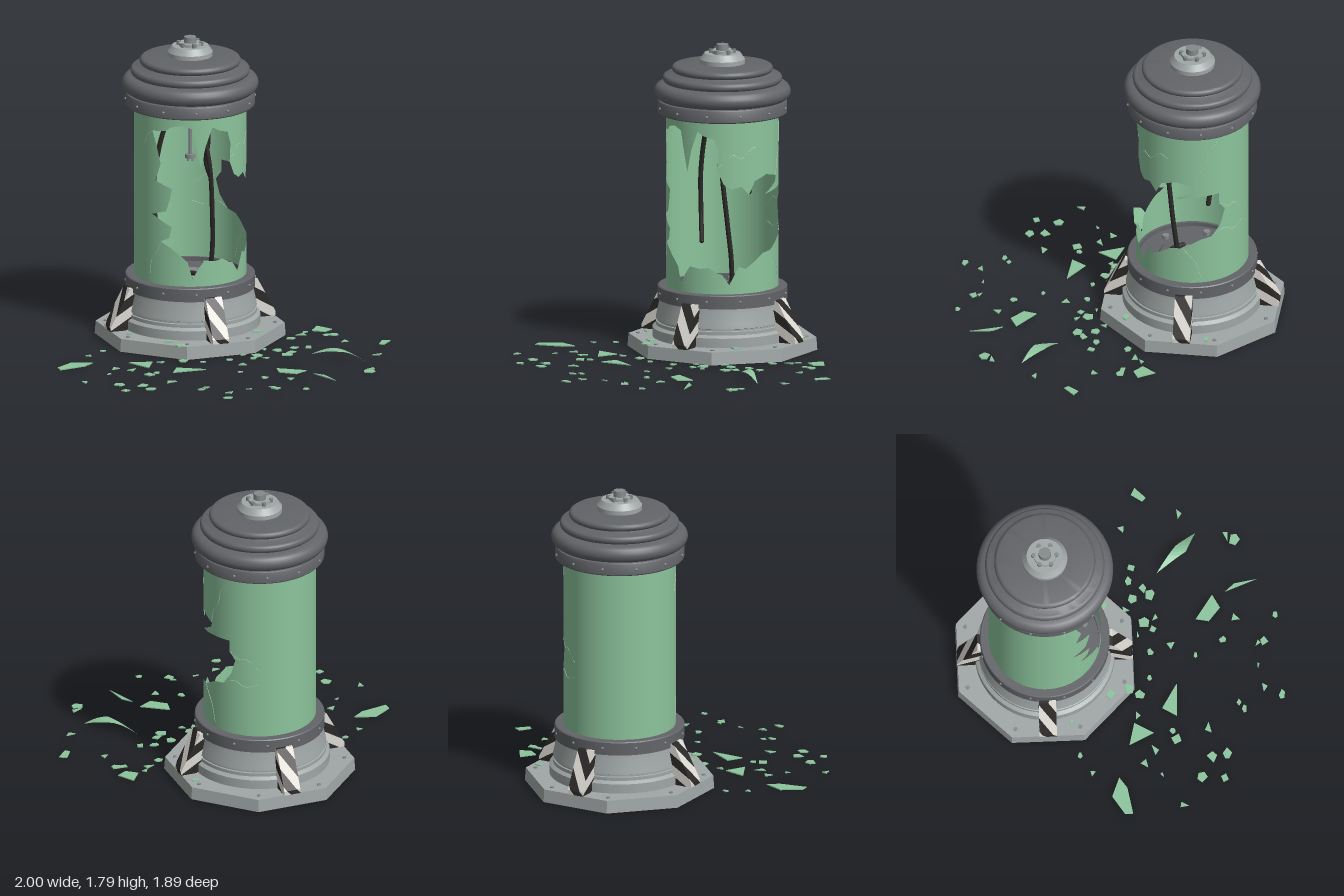
import * as THREE from 'three';
import { mergeGeometries, toCreasedNormals } from 'three/addons/utils/BufferGeometryUtils.js';

const mat = (name, color, side = THREE.FrontSide) => new THREE.MeshStandardMaterial({ name, color, side });
const glass = mat('green glass', 0x8cc49c, THREE.DoubleSide);
const dark = mat('dark metal', 0x626468);
const grey = mat('light metal', 0xa0a7a6);
const steel = mat('steel', 0x85898b);
const black = mat('black rubber', 0x2b2927);
const white = mat('stripe white', 0xdedbd4);
const crackMat = mat('crack', 0xc2dcc6);

const R = 0.325; // glass radius

// Keeps the part of a convex polygon where lo <= f(p) <= hi
function clip(poly, f, lo, hi) {
  for (const g of [p => f(p) - lo, p => hi - f(p)]) {
    const out = [];
    poly.forEach((a, i) => {
      const b = poly[(i + 1) % poly.length], ga = g(a), gb = g(b);
      if (ga >= 0) out.push(a);
      if ((ga > 0 && gb < 0) || (ga < 0 && gb > 0)) out.push(a.map((v, k) => v + (b[k] - v) * ga / (ga - gb)));
    });
    poly = out;
  }
  return poly;
}

// Cuts polygons into bands of f, maps each corner to 3D, and gathers the bands into `count` geometries
function bands(polys, f, step, map, count = 1) {
  const pos = Array.from({ length: count }, () => []);
  for (const poly of polys) {
    const vals = poly.map(f);
    for (let k = Math.floor(Math.min(...vals) / step); k * step < Math.max(...vals); k++) {
      const p = clip(poly, f, k * step, (k + 1) * step).map(map);
      for (let i = 1; i + 1 < p.length; i++) pos[Math.abs(k) % count].push(...p[0], ...p[i], ...p[i + 1]);
    }
  }
  return pos.map(a => {
    const g = new THREE.BufferGeometry();
    g.setAttribute('position', new THREE.Float32BufferAttribute(a, 3));
    g.computeVertexNormals();
    return g;
  });
}

const lathe = pts => toCreasedNormals(
  new THREE.LatheGeometry(pts.map(p => new THREE.Vector2(...p)), 64), 0.6);

// Rounded bulge from y0 to y1, reaching out from radius r0 to r1
const bulge = (r0, r1, y0, y1) => Array.from({ length: 9 }, (_, i) => {
  const a = Math.PI * (i / 8 - 0.5);
  return [r0 + (r1 - r0) * Math.cos(a), (y0 + y1) / 2 + (y1 - y0) / 2 * Math.sin(a)];
});

const onGlass = (a, y, r = R) => [r * Math.sin(a), y, r * Math.cos(a)];

export function createModel() {
  const model = new THREE.Group();
  const tank = new THREE.Group();
  tank.name = 'tank';
  tank.position.set(-0.025, 0, -0.44);
  model.add(tank);
  const add = (name, geo, material, parent = tank) => {
    const m = new THREE.Mesh(geo, material);
    m.name = name;
    parent.add(m);
    return m;
  };
  const ring = (name, n, r, y, off, geo, material) => {
    for (let i = 0; i < n; i++) {
      const a = off + i / n * Math.PI * 2;
      add(name, geo, material).position.set(...onGlass(a, y, r));
    }
  };

  // Octagonal plate and stepped pedestal
  const plate = new THREE.CylinderGeometry(0.546, 0.552, 0.075, 8);
  plate.rotateY(Math.PI / 8).translate(0, 0.0375, 0);
  add('basePlate', toCreasedNormals(plate, 0.3), grey);
  add('pedestal', lathe([[0.405, 0.075], [0.405, 0.13], [0.385, 0.145], [0.385, 0.165], [0.377, 0.168],
    [0.377, 0.178], [0.385, 0.181], [0.382, 0.2], [0.367, 0.27], [0.365, 0.296]]), grey);
  ring('plateBolt', 8, 0.49, 0.077, Math.PI / 8, new THREE.CylinderGeometry(0.012, 0.012, 0.008, 8), steel);

  // Lower collar with the tank floor
  add('lowerCollar', lathe([[0.36, 0.293], [0.375, 0.296], [0.375, 0.37], [0.37, 0.375], [0.31, 0.375],
    [0.31, 0.35], [0.2, 0.35], [0.19, 0.36], [0, 0.36]]), dark);
  ring('floorBolt', 6, 0.24, 0.36, 0.3, new THREE.CylinderGeometry(0.022, 0.022, 0.025, 6), steel);
  add('floorDrain', new THREE.CylinderGeometry(0.07, 0.08, 0.025, 24), steel).position.y = 0.37;

  // Lid: collar and three rounded steps
  add('lid', lathe([[0, 1.39], [0.369, 1.386], [0.374, 1.392], [0.374, 1.455], [0.37, 1.462],
    ...bulge(0.35, 0.395, 1.464, 1.56), ...bulge(0.325, 0.345, 1.565, 1.612), [0.28, 1.618],
    ...bulge(0.27, 0.292, 1.625, 1.668), [0.12, 1.675], [0, 1.675]]), dark);
  const rivet = new THREE.SphereGeometry(0.008, 8, 6);
  for (const y of [0.337, 1.424]) ring('rivet', 12, 0.375, y, Math.PI / 12, rivet, steel);

  // Hub on the lid
  add('hub', lathe([[0.13, 1.66], [0.13, 1.7], [0.122, 1.71], [0.105, 1.735], [0.065, 1.735],
    [0.065, 1.752], [0, 1.752]]), grey);
  add('hubKnob', new THREE.CylinderGeometry(0.035, 0.037, 0.04, 16), steel).position.y = 1.766;
  ring('hubBolt', 6, 0.066, 1.745, 0, new THREE.CylinderGeometry(0.013, 0.013, 0.025, 6), steel);

  // Four striped braces
  const prof = [[0.36, 0.075], [0.508, 0.075], [0.508, 0.1], [0.39, 0.32], [0.36, 0.32]];
  const w = 0.05;
  const faces = prof.map(([r, y], i) => {
    const [r2, y2] = prof[(i + 1) % prof.length];
    return [[-w, y, r], [w, y, r], [w, y2, r2], [-w, y2, r2]];
  });
  faces.push(prof.map(([r, y]) => [-w, y, r]), prof.map(([r, y]) => [w, y, r]).reverse());
  const [evenBand, oddBand] = bands(faces, p => p[1] + 0.6 * p[2] + p[0], 0.062, p => p, 2);
  for (let i = 0; i < 4; i++) {
    const brace = new THREE.Group();
    brace.name = 'brace';
    brace.rotation.y = i * Math.PI / 2;
    add('braceBlackStripes', evenBand, black, brace);
    add('braceWhiteStripes', oddBand, white, brace);
    tank.add(brace);
  }

  // Broken glass: unrolled sheet (angle, height) with a jagged hole, wrapped round the axis
  const upperEdge = [[-1.09, 1.29], [-0.8, 1.3], [-0.72, 1.325], [-0.5, 1.34], [-0.32, 1.32], [-0.25, 1.21],
    [-0.165, 1.085], [-0.08, 1.21], [0.05, 1.326], [0.18, 1.3], [0.37, 1.283], [0.44, 1.21], [0.42, 1.1],
    [0.53, 1.02], [0.67, 0.99], [0.85, 1.005], [1.0, 0.955], [1.12, 1.03], [1.4, 1.06], [1.76, 1.035],
    [1.7, 1.0], [1.37, 0.945], [1.84, 0.965], [2.19, 0.97]];
  const lowerEdge = [[2.2, 0.9], [2.31, 0.85], [2.23, 0.76], [2.06, 0.685], [1.84, 0.67], [1.52, 0.61],
    [1.3, 0.6], [1.12, 0.56], [0.93, 0.52], [0.8, 0.535], [0.63, 0.43], [0.5, 0.49], [0.4, 0.5], [0.25, 0.53],
    [0.1, 0.52], [-0.1, 0.53], [-0.2, 0.487], [-0.316, 0.42], [-0.4, 0.52], [-0.5, 0.55], [-0.7, 0.6],
    [-0.91, 0.635], [-0.74, 0.66], [-0.69, 0.727]];
  const leftEdge = [[-1.09, 0.79], [-0.8, 0.82], [-0.72, 0.9], [-0.69, 0.957], [-1.02, 0.995], [-0.91, 1.1], [-1.0, 1.21]];
  const v2 = p => new THREE.Vector2(...p);
  const sheet = new THREE.Shape([[-Math.PI, 0.37], [Math.PI, 0.37], [Math.PI, 1.395], [-Math.PI, 1.395]].map(v2));
  sheet.holes.push(new THREE.Path([...upperEdge, ...lowerEdge, ...leftEdge].map(v2)));
  const flat = new THREE.ShapeGeometry(sheet).toNonIndexed().attributes.position;
  const tris = [];
  for (let i = 0; i < flat.count; i += 3) tris.push([0, 1, 2].map(k => [flat.getX(i + k), flat.getY(i + k)]));
  const [wall] = bands(tris, p => p[0], Math.PI / 36, p => onGlass(p[0], p[1]));
  const wp = wall.attributes.position;
  for (let i = 0; i < wp.count; i++) wall.attributes.normal.setXYZ(i, wp.getX(i) / R, 0, wp.getZ(i) / R);
  add('brokenGlass', wall, glass);

  // Hairline cracks
  const tube = (pts, r, n, sides) => new THREE.TubeGeometry(
    new THREE.CatmullRomCurve3(pts.map(p => new THREE.Vector3(...p))), n, r, sides);
  for (const c of [
    [[0.44, 1.12], [0.7, 1.19], [0.85, 1.17], [1.1, 1.23], [1.25, 1.21]],
    [[1.74, 1.04], [1.8, 1.12], [1.93, 1.18], [2.0, 1.27], [2.15, 1.33]],
    [[2.2, 0.9], [2.4, 0.86], [2.5, 0.87], [2.75, 0.8]],
    [[1.52, 0.61], [1.65, 0.56], [1.76, 0.51], [1.85, 0.41]],
    [[2.06, 0.69], [2.3, 0.72], [2.5, 0.69], [2.75, 0.71]],
    [[-0.9, 0.63], [-1.0, 0.56], [-1.1, 0.52], [-1.15, 0.43]],
    [[-1.08, 1.29], [-1.2, 1.26], [-1.3, 1.2]]])
    add('crack', tube(c.map(([a, y]) => onGlass(a, y, R + 0.0005)), 0.0016, 24, 4), crackMat);

  // Hanging cables, with capped ends, and the central rod
  for (const c of [
    [[-0.08, 1.39, -0.01], [-0.145, 1.22, -0.05], [-0.185, 1, -0.075], [-0.192, 0.8, -0.09], [-0.175, 0.6, -0.07]],
    [[0.02, 1.39, 0.07], [0.07, 1.05, 0.13], [0.095, 0.75, 0.11], [0.105, 0.5, 0.08], [0.09, 0.4, 0.07],
      [0.02, 0.395, 0.12], [-0.05, 0.39, 0.06]],
    [[0.11, 1.39, -0.03], [0.13, 1.15, -0.05], [0.125, 1, -0.07], [0.145, 0.92, -0.06]]]) {
    add('cable', tube(c, 0.014, 40, 10), black);
    add('cableEnd', new THREE.SphereGeometry(0.014, 10, 8), black).position.set(...c[c.length - 1]);
  }
  add('rod', new THREE.CylinderGeometry(0.01, 0.01, 0.32, 12), steel).position.y = 1.23;
  add('rodFlange', new THREE.CylinderGeometry(0.03, 0.03, 0.022, 16), steel).position.y = 1.07;
  ring('rodTip', 4, 0.018, 1.052, 0.4, new THREE.CylinderGeometry(0.006, 0.006, 0.02, 6), steel);

  // Large shards on the ground, as (x, z) outlines
  const shard = (pts, y) => new THREE.ExtrudeGeometry(new THREE.Shape(pts.map(([x, z]) => new THREE.Vector2(x, -z))),
    { depth: 0.006, bevelEnabled: false }).rotateX(-Math.PI / 2).translate(0, y, 0);
  const pieces = [
    [[-1, -0.015], [-0.89, -0.085], [-0.775, -0.04], [-0.84, 0.005], [-1, 0.032]],
    [[-0.578, 0.027], [-0.444, 0.06], [-0.508, 0.171]],
    [[-0.358, 0.225], [-0.21, 0.315], [-0.41, 0.31]],
    [[0.71, -0.32], [0.77, -0.225], [0.71, -0.193], [0.65, -0.24]],
    [[0.18, 0.44], [0.326, 0.54], [0.246, 0.583], [0.165, 0.515]],
    [[0.342, 0.615], [0.39, 0.67], [0.412, 0.8]],
    [[0.957, 0.096], [1, 0.118], [0.936, 0.182], [0.914, 0.16]]].map(p => shard(p, 0.003));

  // Small scattered shards, resting on the ground or on the plate
  let seed = 7;
  const rnd = () => (seed = (seed * 16807) % 2147483647) / 2147483647;
  const spots = [-0.49, 0.49, -0.26, 0.04, -0.17, 0.16, -0.27, 0.1, -0.74, -0.19, -0.63, -0.26, 0.51, 0.08,
    0.7, -0.13, 0.74, -0.12, 0.75, 0.03, 0.68, 0.63, 0.83, 0.36, 0.66, 0.68, 0.18, 0.67, 0.05, 0.59, -0.04, 0.43,
    0.03, 0.29, 0.1, 0.1, 0.17, 0.14, 0.13, 0.19, 0.38, 0.14, 0.34, 0.18, -0.34, 0.67, -0.38, 0.7, -0.25, 0.82,
    -0.3, 0.92, -0.12, 0.79, 0.02, 0.79, 0.03, 0.83, 0.19, 0.9, -0.96, 0.33, -0.77, 0.21, -0.79, 0.44, -0.8, 0.57,
    -0.65, 0.59, -0.67, 0.5, -0.5, 0.28, -0.55, 0.3, -0.61, 0.17, -0.7, 0.11, -0.01, 0.17, 0.43, 0.06, 0.32, 0.08,
    0.6, -0.22, 0.56, -0.18, 0.48, -0.13, 0.26, 0.04, 0.2, 0.2, -0.4, 0.08, -0.45, -0.3, -0.29, -0.07, 0.26, -0.09,
    0.43, -0.58];
  for (let i = 0; i < spots.length; i += 2) {
    const [x, z] = [spots[i], spots[i + 1]], n = 3 + Math.floor(rnd() * 3);
    const size = 0.018 + 0.02 * rnd(), turn = rnd() * 6, squash = 0.6 + 0.4 * rnd();
    const pts = Array.from({ length: n }, (_, k) => {
      const a = turn + (k + 0.5 * rnd()) / n * Math.PI * 2;
      return [x + size * Math.cos(a), z + size * squash * Math.sin(a)];
    });
    const dx = Math.abs(x + 0.025), dz = Math.abs(z + 0.44);
    pieces.push(shard(pts, Math.max(dx, dz) < 0.51 && dx + dz < 0.72 ? 0.078 : 0.003));
  }
  add('glassShards', mergeGeometries(pieces), glass, model);

  // Large curved shard arching off the ground
  const arch = [[0.47, 0.225], [0.58, 0.4], [0.71, 0.46], [0.62, 0.342]];
  const [archGeo] = bands([arch], p => p[0], 0.02,
    ([x, z]) => [x, 0.006 + 0.05 * Math.sin(Math.PI * (x - 0.47) / 0.24), z]);
  add('curvedShard', archGeo, glass, model);

  return model;
}
